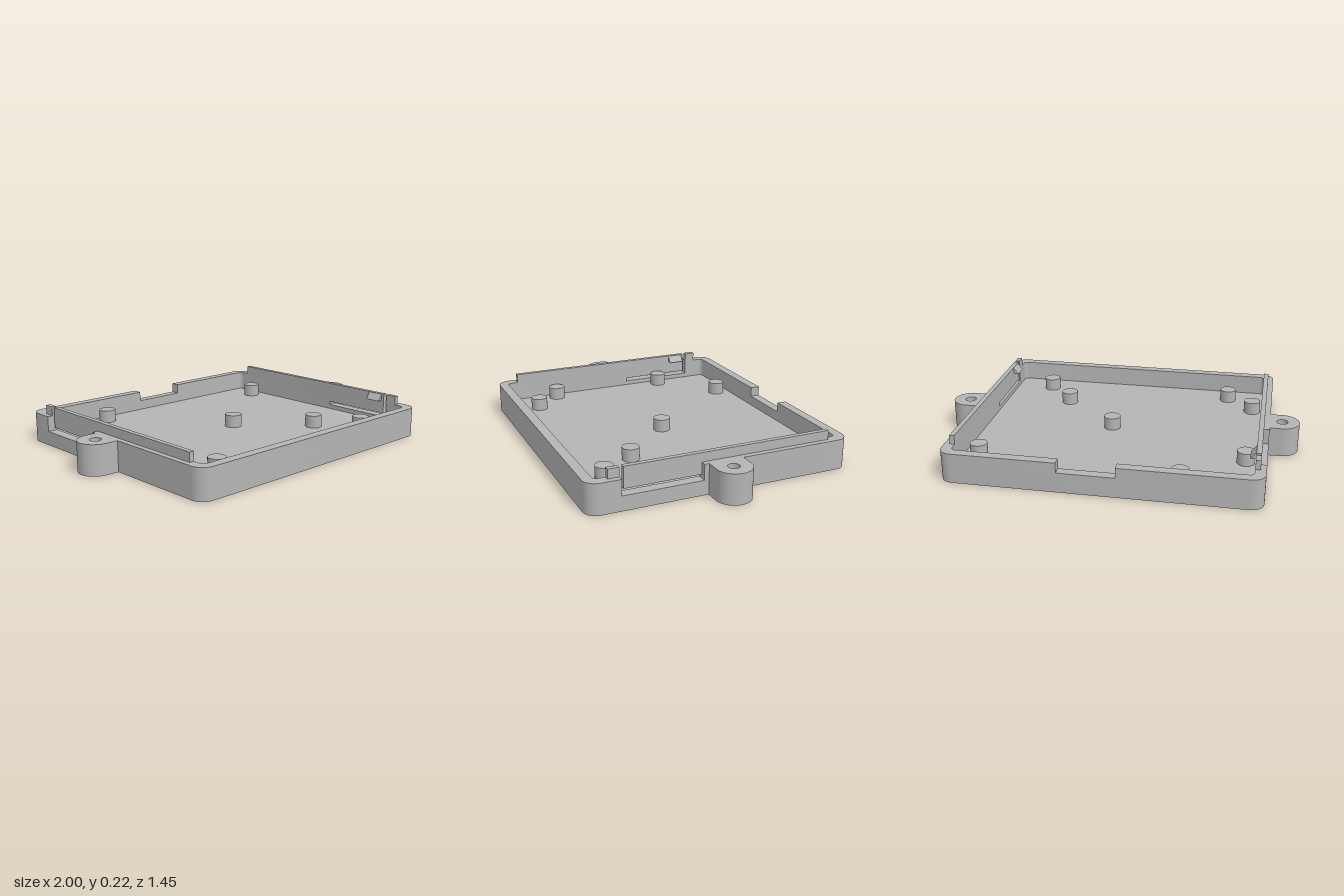
import * as THREE from 'three';
import { toCreasedNormals } from 'three/addons/utils/BufferGeometryUtils.js';

const W = 0.835, D = 0.725;        // outer half width and half depth
const IW = 0.778, ID = 0.672;      // inner half width and half depth
const STRIP = 0.805;               // outer face of the raised side lip
const FLOOR = 0.055, SILL = 0.08, NOTCH = 0.11, TOP = 0.165, LIP = 0.215;

export function createModel() {
  const grey = new THREE.MeshStandardMaterial({ color: 0xb4b4b4 });
  grey.name = 'grey plastic';
  const model = new THREE.Group();
  model.name = 'enclosureBase';
  const body = new THREE.Group();
  body.name = 'tray';
  body.position.x = -0.004;
  model.add(body);

  const add = (parent, name, geometry) => {
    const mesh = new THREE.Mesh(geometry, grey);
    mesh.name = name;
    parent.add(mesh);
    return mesh;
  };
  // Plan shapes use (x, -z) and are raised from y0 to y1
  const raise = (shape, y0, y1) => {
    const g = new THREE.ExtrudeGeometry(shape, { depth: y1 - y0, bevelEnabled: false, curveSegments: 24 });
    g.rotateX(-Math.PI / 2).translate(0, y0, 0);
    return toCreasedNormals(g, 0.5);
  };
  const box = (parent, name, x0, x1, y0, y1, z0, z1) =>
    add(parent, name, new THREE.BoxGeometry(x1 - x0, y1 - y0, z1 - z0))
      .position.set((x0 + x1) / 2, (y0 + y1) / 2, (z0 + z1) / 2);

  // Rounded corner i, counted anticlockwise from right rear
  const corner = (i, w, d, r) => {
    const sx = i === 0 || i === 3 ? 1 : -1, sy = i < 2 ? 1 : -1, pts = [];
    for (let k = 0; k <= 8; k++) {
      const a = (i + k / 8) * Math.PI / 2;
      pts.push(new THREE.Vector2(sx * (w - r) + r * Math.cos(a), sy * (d - r) + r * Math.sin(a)));
    }
    return pts;
  };
  const outer = i => corner(i, W, D, 0.07);
  const inner = i => corner(i, IW, ID, 0.025);
  const all = [0, 1, 2, 3];

  // Length of wall from one cut end to another, through the given corners
  const wall = (start, corners, end) => {
    const v = p => new THREE.Vector2(...p);
    const out = [v(start[0]), ...corners.flatMap(outer), v(end[0])];
    const inn = [v(start[1]), ...corners.flatMap(inner), v(end[1])];
    return new THREE.Shape([...out, ...inn.reverse()]);
  };
  const sideCut = (s, v) => [[s * W, v], [s * IW, v]];
  const rearCut = x => [[x, D], [x, ID]];

  // Floor and the low continuous wall
  add(body, 'floor', raise(new THREE.Shape(all.flatMap(outer)), 0, FLOOR));
  const ring = new THREE.Shape(all.flatMap(outer));
  ring.holes.push(new THREE.Path(all.flatMap(inner)));
  add(body, 'lowerWall', raise(ring, FLOOR, SILL));

  // Upper walls, interrupted by the side windows and the rear notch
  add(body, 'frontWall', raise(wall(sideCut(-1, 0.12), [2, 3], sideCut(1, -0.55)), SILL, TOP));
  add(body, 'rearWall', raise(wall(sideCut(1, -0.12), [0, 1], sideCut(-1, 0.55)), SILL, NOTCH));
  add(body, 'rearWallRight', raise(wall(rearCut(-0.097), [1], sideCut(-1, 0.55)), NOTCH, TOP));
  add(body, 'rearWallLeft', raise(wall(sideCut(1, -0.12), [0], rearCut(0.207)), NOTCH, TOP));

  // Side lips and snap clips, the second side turned half a turn
  for (const turn of [0, Math.PI]) {
    const side = new THREE.Group();
    side.name = turn ? 'rightClipSide' : 'leftClipSide';
    side.rotation.y = turn;
    body.add(side);
    box(side, 'lip', IW, STRIP, TOP, LIP, -0.61, 0.12);
    box(side, 'lipEnd', IW, STRIP, TOP, LIP, 0.55, 0.61);
    box(side, 'clipArm', IW, STRIP, 0.1, LIP, 0.12, 0.53);
    const hook = new THREE.Shape([
      new THREE.Vector2(IW, 0.175), new THREE.Vector2(IW, 0.213), new THREE.Vector2(IW - 0.03, 0.175),
    ]);
    const hookGeometry = new THREE.ExtrudeGeometry(hook, { depth: 0.09, bevelEnabled: false });
    add(side, 'clipHook', hookGeometry.translate(0, 0, 0.425));
  }

  // Support posts
  const posts = [[-0.41, -0.59], [0.69, -0.485], [-0.725, -0.32], [0.055, 0],
    [-0.725, 0.375], [-0.57, 0.535], [0.385, 0.325], [0.55, 0.535]];
  for (const [x, z] of posts) {
    add(model, 'post', new THREE.CylinderGeometry(0.047, 0.047, 0.125 - FLOOR, 32))
      .position.set(x, (0.125 + FLOOR) / 2, z);
  }

  // Mounting ears with blind screw holes
  for (const turn of [0, Math.PI]) {
    const earShape = () => {
      const s = new THREE.Shape();
      s.moveTo(0.825, -0.095);
      s.lineTo(0.905, -0.095);
      s.absarc(0.905, 0, 0.095, -Math.PI / 2, Math.PI / 2, false);
      s.lineTo(0.825, 0.095);
      return s;
    };
    const ear = new THREE.Group();
    ear.name = turn ? 'rightEar' : 'leftEar';
    ear.rotation.y = turn;
    model.add(ear);
    const drilled = earShape();
    drilled.holes.push(new THREE.Path().absarc(0.905, 0, 0.031, 0, Math.PI * 2, true));
    add(ear, 'earBase', raise(earShape(), 0, 0.04));
    add(ear, 'earBody', raise(drilled, 0.04, TOP));
  }
  return model;
}
